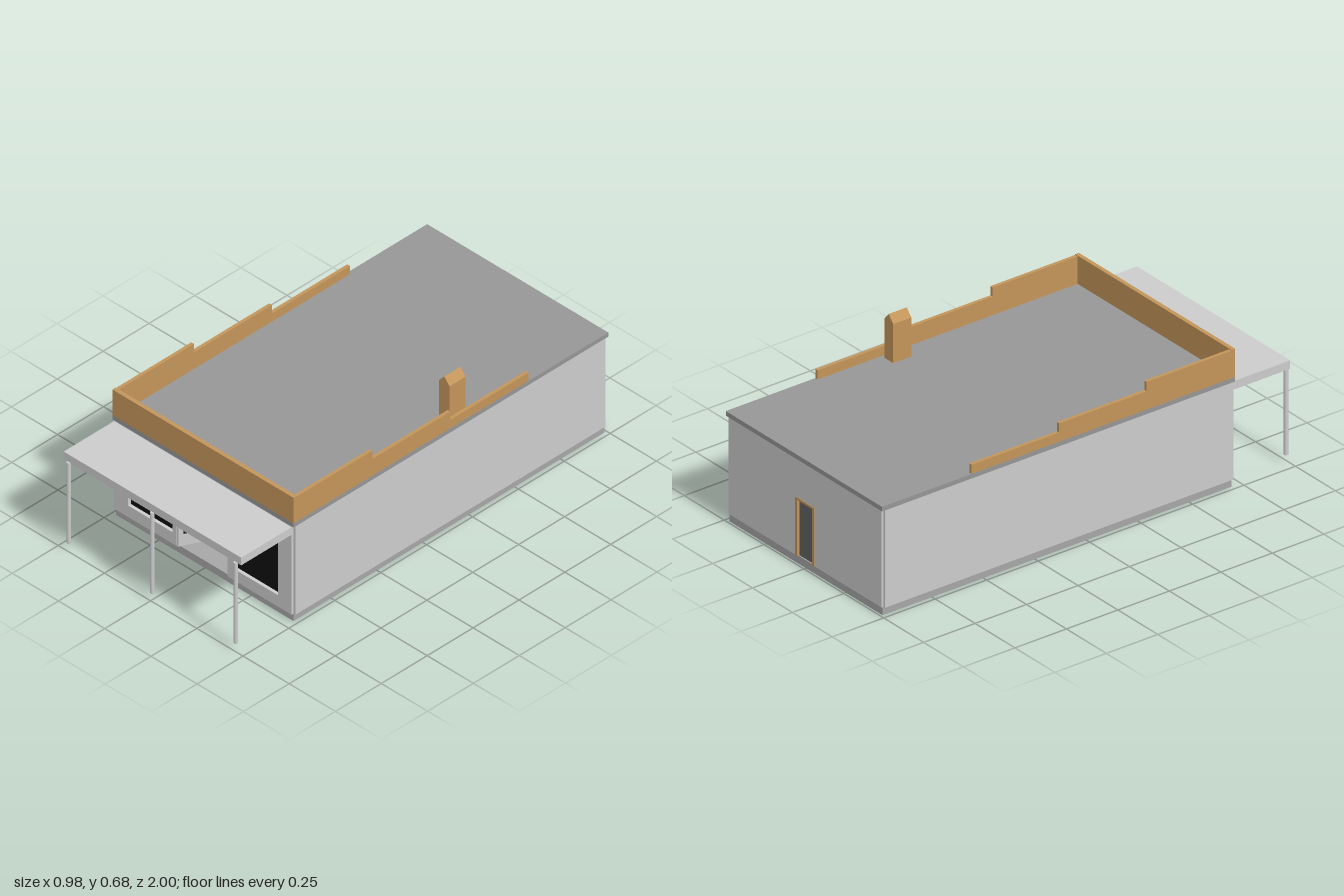
import * as THREE from 'three';

const mat = (color) => new THREE.MeshStandardMaterial({ color, side: THREE.DoubleSide });
const wall = mat(0xcccccc), stone = mat(0xa6a6a6), roofing = mat(0x969696);
const wood = mat(0xc3955a), glass = mat(0x0f0f0f), doorGrey = mat(0x626262);

export function createModel() {
  const model = new THREE.Group();

  const add = (name, geometry, material, parent = model) => {
    const mesh = new THREE.Mesh(geometry, material);
    mesh.name = name;
    parent.add(mesh);
    return mesh;
  };
  // Box given by its two extreme corners
  const box = (name, material, [x0, y0, z0], [x1, y1, z1], parent) => {
    const mesh = add(name, new THREE.BoxGeometry(x1 - x0, y1 - y0, z1 - z0), material, parent);
    mesh.position.set((x0 + x1) / 2, (y0 + y1) / 2, (z0 + z1) / 2);
    return mesh;
  };
  const path = (Type, points) => new Type(points.map(([x, y]) => new THREE.Vector2(x, y)));
  const extrude = (shape, depth) => new THREE.ExtrudeGeometry(shape, { depth, bevelEnabled: false });

  // Base, side walls and roof slab
  box('foundation', stone, [-0.48, 0, -0.99], [0.48, 0.035, 0.705]);
  for (const s of [-1, 1]) {
    const x = s * 0.48;
    box('sideWall', wall, [x - 0.01, 0.035, -0.985], [x + 0.01, 0.46, 0.705]);
  }
  box('roof', roofing, [-0.49, 0.46, -1], [0.49, 0.48, 0.715]);

  // Front wall with the entrance notch and two shop windows
  const front = path(THREE.Shape, [
    [-0.48, 0.035], [-0.145, 0.035], [-0.145, 0.33], [0.145, 0.33],
    [0.145, 0.035], [0.48, 0.035], [0.48, 0.46], [-0.48, 0.46],
  ]);
  for (const s of [-1, 1]) {
    front.holes.push(path(THREE.Path, [
      [s * 0.165, 0.09], [s * 0.405, 0.09], [s * 0.405, 0.34], [s * 0.165, 0.34],
    ]));
    const x = s * 0.285;
    box('shopWindow', glass, [x - 0.125, 0.085, 0.69], [x + 0.125, 0.345, 0.7]);
  }
  add('frontWall', extrude(front, 0.02), wall).position.z = 0.695;

  // Back wall with a framed door
  const back = path(THREE.Shape, [
    [-0.48, 0.035], [-0.06, 0.035], [-0.06, 0.29], [0.06, 0.29],
    [0.06, 0.035], [0.48, 0.035], [0.48, 0.46], [-0.48, 0.46],
  ]);
  add('backWall', extrude(back, 0.02), wall).position.z = -0.995;
  box('backDoor', doorGrey, [-0.055, 0.035, -0.985], [0.055, 0.285, -0.975]);
  const frame = path(THREE.Shape, [
    [-0.06, 0.035], [-0.048, 0.035], [-0.048, 0.28], [0.048, 0.28],
    [0.048, 0.035], [0.06, 0.035], [0.06, 0.29], [-0.06, 0.29],
  ]);
  add('backDoorFrame', extrude(frame, 0.02), wood).position.z = -0.997;

  // Recessed entrance with splayed glazed sides
  const entrance = new THREE.Group();
  entrance.name = 'entrance';
  model.add(entrance);
  box('entranceCeiling', wall, [-0.15, 0.33, 0.57], [0.15, 0.345, 0.7], entrance);
  box('frontDoor', doorGrey, [-0.08, 0.035, 0.57], [0.08, 0.33, 0.58], entrance);
  for (const s of [-1, 1]) {
    const jamb = s * 0.076;
    box('doorJamb', wood, [jamb - 0.006, 0.035, 0.575], [jamb + 0.006, 0.33, 0.59], entrance);
    const strip = s * 0.067;
    box('doorTrim', wall, [strip - 0.007, 0.09, 0.585], [strip + 0.007, 0.33, 0.595], entrance);

    const side = new THREE.Group();
    side.name = 'entranceSide';
    side.position.set(s * 0.11, 0, 0.645);
    side.rotation.y = Math.atan2(0.12, -0.06 * s);
    entrance.add(side);
    box('lowPanel', wall, [-0.067, 0.035, -0.008], [0.067, 0.087, 0.008], side);
    box('sideWindow', glass, [-0.06, 0.087, -0.003], [0.06, 0.33, 0.003], side);
    for (const x of [-0.06, 0.06]) {
      box('windowPost', wall, [x - 0.009, 0.035, -0.008], [x + 0.009, 0.33, 0.008], side);
    }
    const post = s * 0.14;
    box('entrancePost', wall, [post - 0.007, 0.035, 0.695], [post + 0.007, 0.33, 0.714], entrance);
  }

  // Canopy on three round posts
  box('canopy', wall, [-0.48, 0.42, 0.71], [0.48, 0.457, 0.99]);
  for (const x of [-0.452, 0, 0.452]) {
    add('canopyPost', new THREE.CylinderGeometry(0.009, 0.009, 0.387, 16), wall)
      .position.set(x, 0.2285, 0.991);
  }

  // Parapet: tall at the front, stepping down along both sides
  box('frontParapet', wood, [-0.49, 0.48, 0.697], [0.49, 0.603, 0.715]);
  const steps = [[0.697, 0.285, 0.6], [0.285, -0.14, 0.56], [-0.14, -0.565, 0.52]];
  for (const s of [-1, 1]) {
    for (const [z1, z0, top] of steps) {
      const x = s * 0.4825;
      box('sideParapet', wood, [x - 0.0075, 0.48, z0], [x + 0.0075, top, z1]);
    }
  }

  // Chimney with a gabled top
  const chimney = path(THREE.Shape, [
    [0.402, 0.48], [0.458, 0.48], [0.458, 0.65], [0.43, 0.683], [0.402, 0.65],
  ]);
  add('chimney', extrude(chimney, 0.088), wood).position.z = -0.255;

  return model;
}
